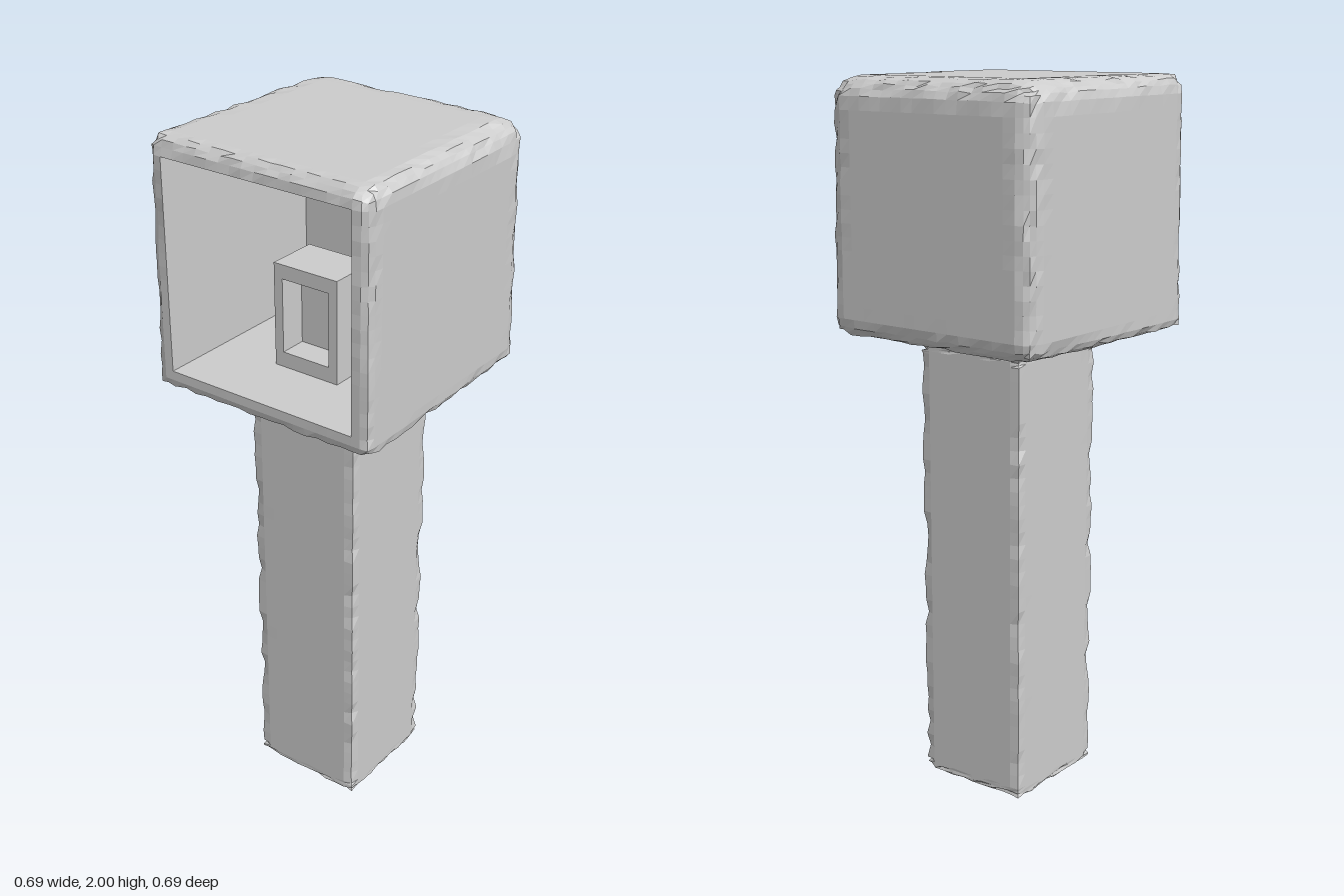
import * as THREE from 'three';

const stone = new THREE.MeshStandardMaterial({ color: 0xcccccc, flatShading: true });
const thin = new THREE.MeshStandardMaterial({ color: 0xcccccc, flatShading: true, side: THREE.DoubleSide });

// repeatable noise 0..1 from a position, so shared corners stay closed
function noise(p) {
  const q = (v) => Math.round(v * 1000);
  const s = Math.sin(q(p.x) * 12.9898 + q(p.y) * 78.233 + q(p.z) * 37.719) * 43758.5453;
  return s - Math.floor(s);
}

// box with worn edges: grid lines gather near the edges, where a varying radius rounds them
function wornBox(half, segs, border, radius, keep = () => true) {
  const box = new THREE.BoxGeometry(2, 2, 2, ...segs).toNonIndexed();
  const pos = box.attributes.position;
  const place = (u, h) => {
    const a = Math.abs(u), inner = h - border;
    const v = a <= 0.8 ? (inner * a) / 0.8 : inner + (border * (a - 0.8)) / 0.2;
    return Math.sign(u) * v;
  };
  const out = [];
  const p = new THREE.Vector3(), core = new THREE.Vector3(), lim = new THREE.Vector3();
  for (let t = 0; t < pos.count; t += 3) {
    const tri = [0, 1, 2].map((k) => {
      p.fromBufferAttribute(pos, t + k);
      return new THREE.Vector3(place(p.x, half.x), place(p.y, half.y), place(p.z, half.z));
    });
    const mid = tri[0].clone().add(tri[1]).add(tri[2]).divideScalar(3);
    if (!keep(mid)) continue;
    for (const v of tri) {
      const r = radius(v, noise(v));
      lim.copy(half).subScalar(r);
      core.copy(v).clamp(lim.clone().negate(), lim);
      p.copy(v).sub(core);
      if (p.length() > r) p.setLength(r);
      out.push(...core.add(p).toArray());
    }
  }
  const g = new THREE.BufferGeometry();
  g.setAttribute('position', new THREE.Float32BufferAttribute(out, 3));
  g.computeVertexNormals();
  return g;
}

export function createModel() {
  const group = new THREE.Group();
  const add = (name, geometry, x, y, z, material = stone) => {
    const m = new THREE.Mesh(geometry, material);
    m.name = name;
    m.position.set(x, y, z);
    group.add(m);
    return m;
  };

  // square post with chipped corners
  add('post', wornBox(new THREE.Vector3(0.172, 0.64, 0.172), [10, 40, 10], 0.03,
    (v, n) => 0.004 + 0.03 * n * n), 0, 0.64, 0);

  // tapered collar between post and housing
  const collar = new THREE.CylinderGeometry(0.27 * Math.SQRT2, 0.17 * Math.SQRT2, 0.035, 4);
  collar.rotateY(Math.PI / 4);
  add('collar', collar, 0, 1.2945, 0);

  // housing: most worn at the back and top, crisp at the front and bottom
  const half = new THREE.Vector3(0.345, 0.3475, 0.3475);
  const border = 0.052;
  const cx = half.x - border, cy = half.y - border;
  const housing = wornBox(half, [20, 20, 20], border, (v, n) => {
    const back = THREE.MathUtils.smoothstep(-v.z, -0.3475, 0.3);
    const top = THREE.MathUtils.smoothstep(v.y, -0.3, 0.3);
    return 0.01 + 0.028 * back + 0.025 * top + 0.022 * n;
  }, (c) => !(c.z > half.z - 1e-4 && Math.abs(c.x) < cx && Math.abs(c.y) < cy));
  add('housing', housing, 0, 1.6525, 0);

  // cavity lining, open at the front
  const zBack = -0.23, depth = half.z - zBack;
  const lining = new THREE.BoxGeometry(2 * cx, 2 * cy, depth);
  const front = lining.groups[4];
  const index = Array.from(lining.index.array);
  index.splice(front.start, front.count);
  lining.setIndex(index);
  lining.clearGroups();
  add('cavity', lining, 0, 1.6525, (half.z + zBack) / 2, thin);

  // small hollow box standing on the cavity floor
  const rect = (S, w, y0, y1) => {
    const s = new S();
    s.moveTo(-w, y0).lineTo(w, y0).lineTo(w, y1).lineTo(-w, y1).closePath();
    return s;
  };
  const face = rect(THREE.Shape, 0.102, 1.355, 1.65);
  face.holes.push(rect(THREE.Path, 0.075, 1.4, 1.61));
  add('innerBoxFrame', new THREE.ExtrudeGeometry(face, { depth: 0.08, bevelEnabled: false }), 0, 0, 0.07);
  add('innerBoxBack', new THREE.BoxGeometry(0.204, 0.295, 0.07), 0, 1.5025, 0.035);

  return group;
}
